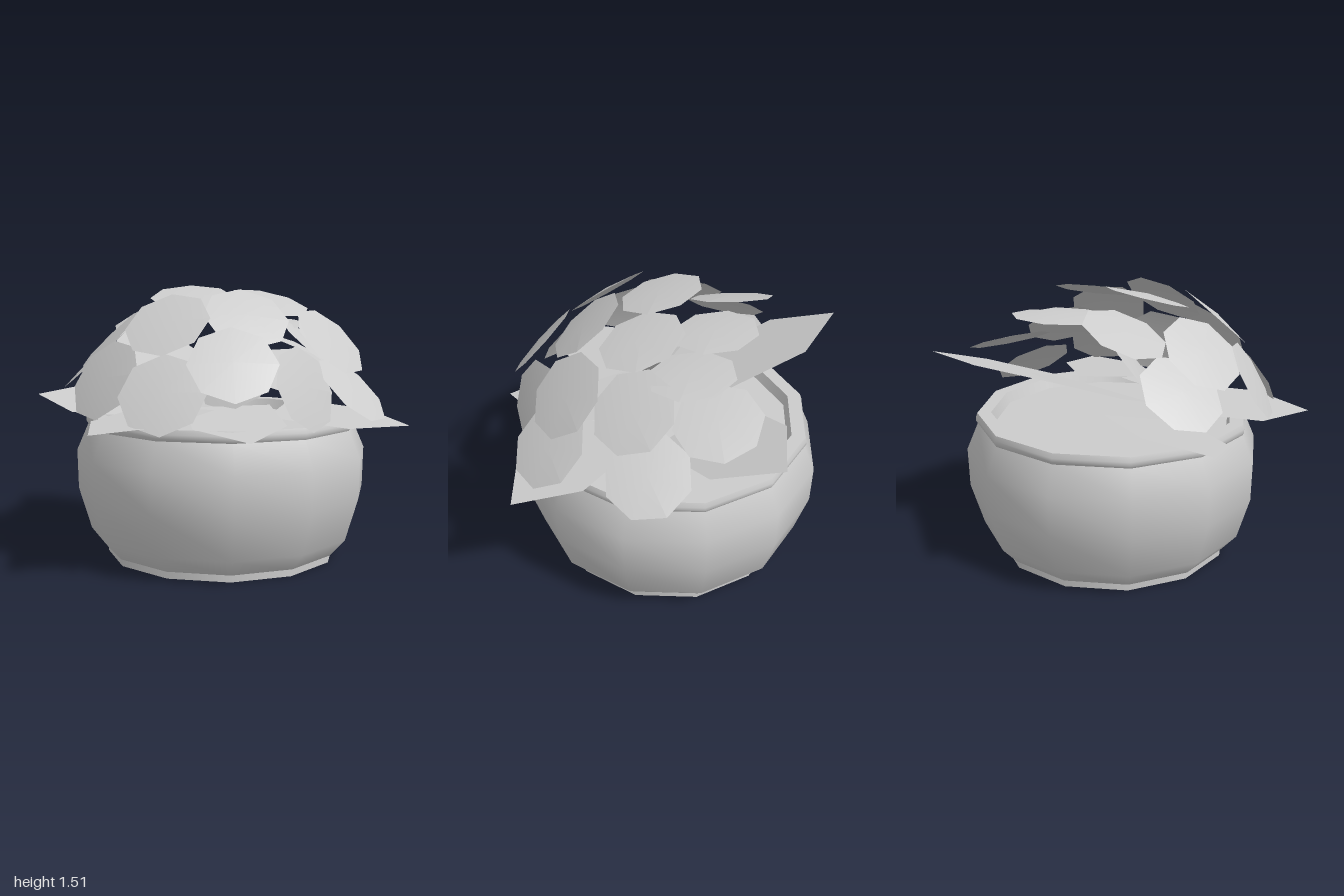
import * as THREE from 'three';

const grey = new THREE.MeshStandardMaterial({ color: 0xcccccc, side: THREE.DoubleSide });
grey.name = 'plain grey';

function add(parent, name, geometry) {
  const mesh = new THREE.Mesh(geometry, grey);
  mesh.name = name;
  parent.add(mesh);
  return mesh;
}

// Twelve-sided revolved shell; separate calls keep hard edges between bands
function revolve(parent, name, points) {
  return add(parent, name, new THREE.LatheGeometry(points.map(p => new THREE.Vector2(...p)), 12));
}

// Octagonal, slightly domed petal
function petalGeometry() {
  const g = new THREE.CircleGeometry(0.23, 8);
  g.attributes.position.setZ(0, 0.02);
  g.computeVertexNormals();
  return g;
}

// House-shaped leaf: tip, inner edge middle (x, z), and rise per unit of x and z
function leafGeometry(tip, [bx, bz], [riseX, riseZ]) {
  const t = new THREE.Vector3(...tip), b = new THREE.Vector3(bx, tip[1], bz);
  const out = t.clone().sub(b).normalize();
  const side = new THREE.Vector3(0, 1, 0).cross(out).multiplyScalar(0.24);
  const shoulder = t.clone().addScaledVector(out, -0.27);
  const corners = [
    t,
    shoulder.clone().sub(side), b.clone().sub(side),
    b.clone().add(side), shoulder.clone().add(side),
  ];
  for (const c of corners) c.y += riseX * (c.x - t.x) + riseZ * (c.z - t.z);
  const g = new THREE.BufferGeometry().setFromPoints(corners);
  g.setIndex([0, 1, 4, 1, 2, 3, 1, 3, 4]);
  g.computeVertexNormals();
  return g;
}

export function createModel() {
  const model = new THREE.Group();
  model.name = 'pottedPlant';

  // Pot, open underneath
  const pot = new THREE.Group();
  pot.name = 'pot';
  pot.position.set(0.055, 0, -0.065);
  model.add(pot);
  revolve(pot, 'potFoot', [[0.65, 0], [0.65, 0.04]]);
  revolve(pot, 'potFootLedge', [[0.65, 0.04], [0.66, 0.04]]);
  revolve(pot, 'potBody', [[0.66, 0.04], [0.745, 0.135], [0.815, 0.37], [0.82, 0.59], [0.755, 0.74]]);
  revolve(pot, 'potRim', [[0.755, 0.74], [0.764, 0.755], [0.764, 0.775], [0.755, 0.8]]);
  revolve(pot, 'potRimTop', [[0.755, 0.8], [0.68, 0.8]]);
  revolve(pot, 'potInside', [[0.68, 0.8], [0.66, 0.74]]);
  revolve(pot, 'soil', [[0.66, 0.74], [0, 0.74]]);

  // Petals: centre, then facing direction
  const petals = [
    [-0.35, 1.345, -0.29, -0.38, 0.9, 0.15],
    [0.035, 1.36, -0.30, -0.03, 0.99, 0.12],
    [0.51, 1.155, -0.445, 0.37, 0.92, 0.03],
    [0.35, 1.29, -0.265, 0.0, 0.98, 0.1],
    [-0.665, 1.09, -0.18, -0.65, 0.73, 0],
    [-0.55, 1.23, 0.05, -0.68, 0.73, 0.08],
    [-0.115, 1.445, 0.04, -0.02, 0.96, 0.28],
    [0.31, 1.415, 0.01, 0.18, 0.94, 0.26],
    [0.57, 1.17, -0.03, 0.6, 0.77, 0.2],
    [0.735, 0.925, -0.155, 0.61, 0.78, 0],
    [-0.58, 1.03, 0.39, -0.65, 0.5, 0.57],
    [-0.26, 1.315, 0.40, -0.3, 0.75, 0.6],
    [0.15, 1.345, 0.37, 0.15, 0.77, 0.62],
    [0.60, 1.22, 0.31, 0.55, 0.68, 0.48],
    [0.71, 0.97, 0.375, 0.57, 0.72, 0.4],
    [-0.29, 0.98, 0.64, -0.25, 0.55, 0.8],
    [0.055, 1.13, 0.675, 0, 0.64, 0.76],
    [0.43, 0.995, 0.56, 0.68, 0.36, 0.65],
    [0.12, 1.02, 0.11, -0.45, 0.6, 0.62],
  ];
  const flower = new THREE.Group();
  flower.name = 'petals';
  model.add(flower);
  const shape = petalGeometry();
  const forward = new THREE.Vector3(0, 0, 1);
  for (const [x, y, z, nx, ny, nz] of petals) {
    const petal = add(flower, 'petal', shape);
    petal.position.set(x, y, z);
    petal.quaternion.setFromUnitVectors(forward, new THREE.Vector3(nx, ny, nz).normalize());
  }

  // Leaves: tip, middle of the inner edge, slope
  const leaves = [
    [[-0.53, 1.24, -0.83], [-0.13, -0.24], [-0.05, -0.4]],
    [[0.715, 1.11, -0.83], [0.28, -0.25], [-0.03, -0.32]],
    [[-0.65, 0.8, 0.765], [-0.2, 0.24], [0.08, -0.05]],
    [[0.125, 0.77, 0.875], [0.06, 0.2], [0, -0.14]],
    [[0.995, 0.79, 0.475], [0.35, 0.2], [-0.05, -0.12]],
    [[-1.0, 0.885, -0.265], [-0.32, -0.13], [0, -0.24]],
  ];
  const foliage = new THREE.Group();
  foliage.name = 'leaves';
  model.add(foliage);
  for (const [tip, base, rise] of leaves) add(foliage, 'leaf', leafGeometry(tip, base, rise));

  return model;
}
